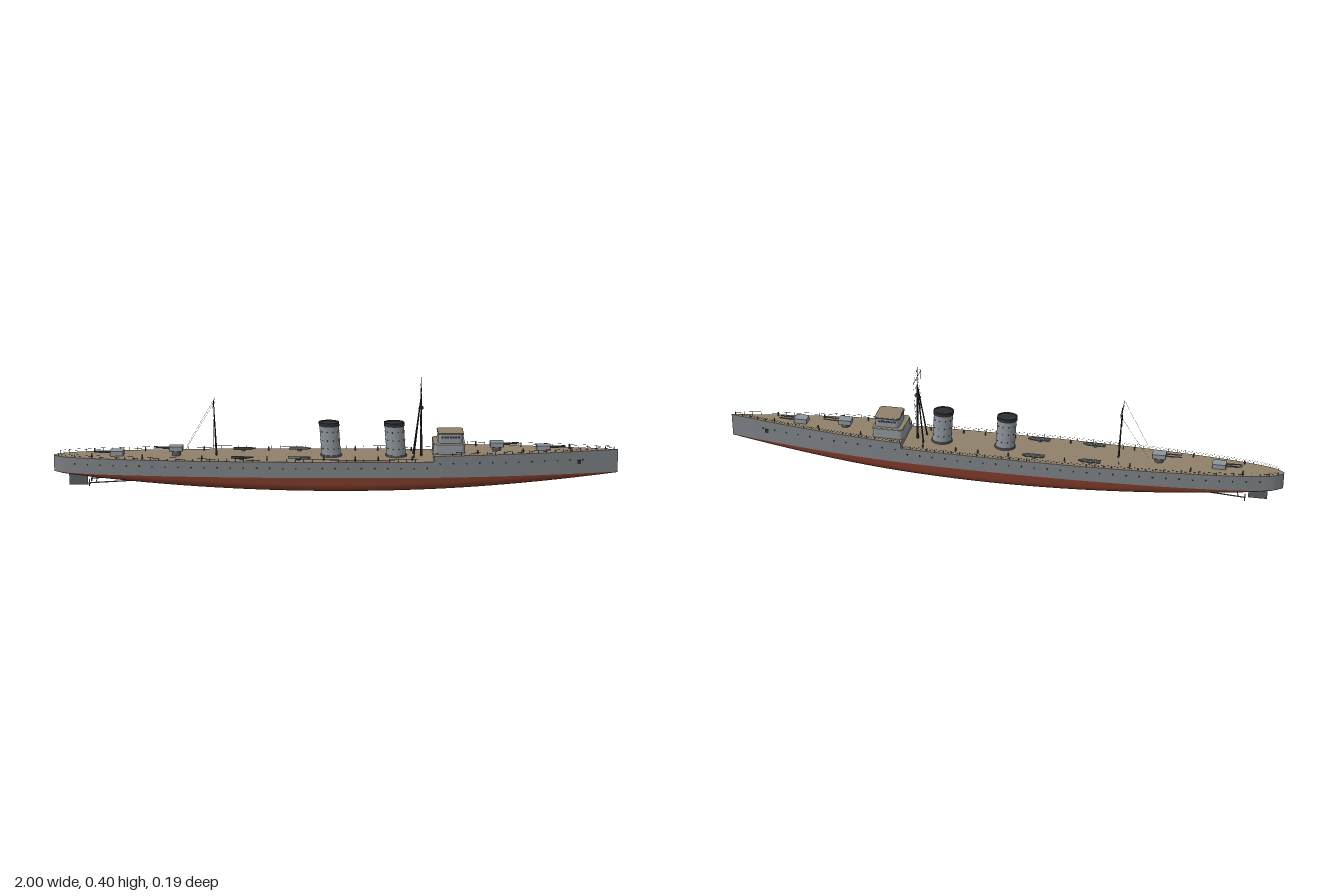
import * as THREE from 'three';
import { mergeGeometries } from 'three/addons/utils/BufferGeometryUtils.js';

const mat = (name, color, side = THREE.FrontSide) => {
  const m = new THREE.MeshStandardMaterial({ color, side });
  m.name = name;
  return m;
};

export function createModel() {
  const ship = new THREE.Group();
  ship.name = 'warship';
  const hullGrey = mat('hull grey', 0x7b7f83);
  const red = mat('antifouling red', 0x7f3b2a);
  const tan = mat('deck tan', 0x8f8069);
  const pale = mat('superstructure grey', 0x8d9499);
  const dark = mat('dark metal', 0x2b2f33, THREE.DoubleSide);
  const steel = mat('steel grey', 0x565c62);

  const V = (x, y, z) => new THREE.Vector3(x, y, z);
  const add = (name, geo, material, parent = ship) => {
    const m = new THREE.Mesh(geo, material);
    m.name = name;
    parent.add(m);
    return m;
  };
  const box = (w, h, d, x, y, z) => new THREE.BoxGeometry(w, h, d).translate(x, y, z);
  const post = (r, h, x, y, z) => new THREE.CylinderGeometry(r, r, h, 8).translate(x, y + h / 2, z);
  // Round bar between two points
  const rod = (a, b, r, r2 = r, sides = 5) => {
    const d = b.clone().sub(a);
    const g = new THREE.CylinderGeometry(r2, r, d.length(), sides);
    g.applyQuaternion(new THREE.Quaternion().setFromUnitVectors(V(0, 1, 0), d.normalize()));
    return g.translate((a.x + b.x) / 2, (a.y + b.y) / 2, (a.z + b.z) / 2);
  };

  // Hull plan: length position against half beam
  const WL = 0.058, DECK = 0.115, STEP = 0.345;
  const plan = new THREE.SplineCurve([
    [-1, 0.004], [-0.985, 0.016], [-0.95, 0.033], [-0.85, 0.053], [-0.7, 0.069], [-0.5, 0.083],
    [-0.25, 0.092], [0, 0.094], [0.2, 0.092], [0.4, 0.084], [0.6, 0.065], [0.8, 0.037], [1, 0.001],
  ].map(p => new THREE.Vector2(...p))).getPoints(96);
  const beam = x => {
    const i = Math.max(1, plan.findIndex(p => p.x >= x - 1e-6));
    const a = plan[i - 1], b = plan[i];
    return a.y + (b.y - a.y) * (x - a.x) / (b.x - a.x);
  };
  const stations = plan.map(p => p.x);
  const foreStations = [STEP, ...stations.filter(x => x > STEP + 0.002)];
  const foreDeck = x => 0.136 + 0.004 * (x - STEP) / (1 - STEP);
  const deckAt = x => x < STEP ? DECK : foreDeck(x);

  // Skin through cross-sections; section(x) gives [y, z] points
  const loft = (xs, section) => {
    const pos = [], idx = [];
    const n = section(0.4).length;
    xs.forEach((x, i) => {
      section(x).forEach(([y, z]) => pos.push(x, y, z));
      if (i === xs.length - 1) return;
      for (let j = 0; j < n - 1; j++) {
        const a = i * n + j, b = a + 1, c = a + n, d = c + 1;
        idx.push(a, b, c, b, d, c);
      }
    });
    const g = new THREE.BufferGeometry();
    g.setAttribute('position', new THREE.Float32BufferAttribute(pos, 3));
    g.setIndex(idx);
    g.computeVertexNormals();
    return g;
  };
  const sides = (name, xs, top, bottom) => {
    add(name + 'SideLeft', loft(xs, x => [[top(x), beam(x)], [bottom, beam(x)]]), hullGrey);
    add(name + 'SideRight', loft(xs, x => [[bottom, -beam(x)], [top(x), -beam(x)]]), hullGrey);
    add(name + 'Deck', loft(xs, x => [[top(x), -beam(x)], [top(x), beam(x)]]), tan);
  };
  sides('main', stations, () => DECK, WL);
  sides('forecastle', foreStations, foreDeck, DECK);
  add('forecastleBulkhead', box(0.004, 0.021, 2 * beam(STEP) - 0.002, STEP + 0.002, 0.1255, 0), hullGrey);
  add('sternPlate', box(0.003, DECK - WL, 0.008, -0.9985, (DECK + WL) / 2, 0), hullGrey);

  // Underwater body: full amidships, sharper toward the ends
  add('underwaterHull', loft(stations, x => {
    const keel = (WL - 0.002) * Math.pow(Math.abs(x), 2.2), p = 0.45 + 0.5 * Math.pow(Math.abs(x), 1.5);
    return Array.from({ length: 21 }, (_, j) => {
      const t = Math.PI * j / 20, c = Math.cos(t);
      return [WL - (WL - keel) * Math.pow(Math.max(0, Math.sin(t)), p), Math.sign(c) * beam(x) * Math.pow(Math.abs(c), p)];
    });
  }), red);

  // Portholes, anchors, guard rails and deck fittings on both sides
  const ports = [], rails = [], fittings = [];
  for (const s of [1, -1]) {
    for (let x = -0.92; x < 0.92; x += 0.046) {
      const y = x > STEP ? 0.108 : 0.092;
      ports.push(new THREE.CylinderGeometry(0.003, 0.003, 0.003, 8).rotateX(Math.PI / 2).translate(x, y, s * beam(x)));
    }
    ports.push(box(0.012, 0.014, 0.004, 0.86, 0.1, s * (beam(0.86) + 0.001)));
    for (const [from, to] of [[-0.98, STEP - 0.005], [STEP + 0.005, 0.985]]) {
      const count = Math.round((to - from) / 0.03);
      let last = null;
      for (let i = 0; i <= count; i++) {
        const x = from + (to - from) * i / count;
        const foot = V(x, deckAt(x), s * (beam(x) - 0.001)), head = foot.clone().setY(foot.y + 0.011);
        rails.push(rod(foot, head, 0.0006));
        if (last) for (const k of [0, 0.005])
          rails.push(rod(last.clone().setY(last.y - k), head.clone().setY(head.y - k), 0.0003, 0.0003, 3));
        last = head;
      }
    }
    for (const x of [-0.86, -0.68, -0.47, -0.24, -0.04, 0.07, 0.15, 0.27, 0.5, 0.66, 0.83])
      fittings.push(post(0.0025, 0.014, x, deckAt(x), s * beam(x) * 0.72));
  }
  add('portholes', mergeGeometries(ports), dark);
  add('guardRails', mergeGeometries(rails), dark);
  add('deckFittings', mergeGeometries(fittings), steel);

  // Bridge: two rounded blocks with planked tops and a window band
  const rounded = (x, y, hx, hz, h, r = 0.014) => {
    const s = new THREE.Shape();
    for (const [i, [a, b]] of [[1, 1], [-1, 1], [-1, -1], [1, -1]].entries())
      s.absarc(a * (hx - r), b * (hz - r), r, i * Math.PI / 2, (i + 1) * Math.PI / 2, false);
    return new THREE.ExtrudeGeometry(s, { depth: h, bevelEnabled: false, curveSegments: 5 })
      .rotateX(-Math.PI / 2).translate(x, y, 0);
  };
  add('bridgeLower', rounded(0.4, 0.135, 0.056, 0.061, 0.036), pale);
  add('bridgeLowerDeck', rounded(0.4, 0.171, 0.054, 0.059, 0.001), tan);
  add('bridgeUpper', rounded(0.405, 0.171, 0.044, 0.046, 0.033), pale);
  add('bridgeRoofRim', rounded(0.405, 0.203, 0.046, 0.048, 0.003), steel);
  add('bridgeRoof', rounded(0.405, 0.206, 0.043, 0.045, 0.001), tan);
  const panes = [];
  for (let i = -3; i <= 3; i++) {
    panes.push(box(0.002, 0.007, 0.007, 0.449, 0.194, i * 0.0095));
    for (const s of [1, -1]) panes.push(box(0.007, 0.007, 0.002, 0.405 + i * 0.0095, 0.194, s * 0.046));
  }
  add('bridgeWindows', mergeGeometries(panes), dark);

  // Raked oval funnels with dark caps and studs
  for (const [i, x] of [-0.015, 0.215].entries()) {
    const funnel = new THREE.Group();
    funnel.name = i ? 'foreFunnel' : 'aftFunnel';
    const oval = (r, h, y, open = false) => new THREE.CylinderGeometry(r, r, h, 28, 1, open).scale(1.22, 1, 1).translate(0, y, 0);
    add('casing', oval(0.028, 0.112, 0.056), pale, funnel);
    add('cap', oval(0.0297, 0.014, 0.116, true), dark, funnel);
    add('mouth', oval(0.0285, 0.003, 0.117), dark, funnel);
    add('base', oval(0.031, 0.006, 0.003), steel, funnel);
    const studs = [];
    for (const y of [0.03, 0.06, 0.09]) for (let k = 0; k < 10; k++) {
      const a = k * Math.PI / 5 + y * 20;
      studs.push(new THREE.SphereGeometry(0.002, 6, 4).translate(0.0342 * Math.cos(a), y, 0.028 * Math.sin(a)));
    }
    add('studs', mergeGeometries(studs), dark, funnel);
    funnel.position.set(x, DECK, 0);
    // Lean the funnel aft by shearing it
    funnel.children.forEach(m => m.geometry.applyMatrix4(new THREE.Matrix4().makeShear(0, 0, -0.07, 0, 0, 0)));
    ship.add(funnel);
  }

  // Twin gun mounts: x, deck height, pedestal height, facing
  for (const [x, y, ped, dir] of [[0.57, 0.137, 0.013, 1], [0.735, 0.138, 0.001, 1], [-0.565, DECK, 0.017, -1], [-0.775, DECK, 0.001, -1]]) {
    const gun = new THREE.Group();
    gun.name = dir > 0 ? 'foreGun' : 'aftGun';
    add('pedestal', post(0.016, ped + 0.002, 0, 0, 0), steel, gun);
    add('shield', rounded(0, ped, 0.024, 0.019, 0.017, 0.004), pale, gun);
    for (const z of [-0.008, 0.008])
      add('barrel', rod(V(0.015, ped + 0.009, z), V(0.08, ped + 0.011, z), 0.0028, 0.0018, 8), steel, gun);
    gun.position.set(x, y, 0);
    gun.rotation.y = dir > 0 ? 0 : Math.PI;
    ship.add(gun);
  }

  // Triple torpedo mounts
  for (const x of [-0.33, -0.13]) for (const z of [-0.061, 0.061]) {
    const tubes = [post(0.007, 0.007, x, DECK, z)];
    for (const k of [-1, 0, 1]) tubes.push(rod(V(x - 0.036, 0.124, z + k * 0.006), V(x + (k ? 0.032 : 0.042), 0.124, z + k * 0.006), 0.0033, 0.0033, 8));
    add('torpedoTubes', mergeGeometries(tubes), steel);
  }

  // Tripod foremast and pole mainmast, with yards and stays
  const foremast = [rod(V(0.304, DECK, 0), V(0.301, 0.33, 0), 0.004, 0.0028, 8), rod(V(0.301, 0.33, 0), V(0.3, 0.4, 0), 0.0018, 0.001)];
  const mainmast = [rod(V(-0.422, DECK, 0), V(-0.43, 0.312, 0), 0.0035, 0.0015, 8)];
  for (const s of [1, -1]) {
    foremast.push(rod(V(0.276, DECK, s * 0.03), V(0.301, 0.33, 0), 0.0028, 0.002, 6));
    for (const [y, w] of [[0.36, 0.057], [0.26, 0.047]])
      foremast.push(rod(V(0.301, y, s * w), V(0.301, 0.39, 0), 0.0003, 0.0003, 3), rod(V(0.301, y, s * w), V(0.3, 0.215, s * 0.03), 0.0003, 0.0003, 3));
    mainmast.push(rod(V(-0.43, 0.31, s * 0.055), V(-0.53, 0.14, s * 0.03), 0.0004, 0.0004, 3),
      rod(V(-0.43, 0.3, 0), V(-0.43, DECK, s * 0.06), 0.0004, 0.0004, 3));
  }
  for (const [y, w] of [[0.36, 0.057], [0.27, 0.01], [0.26, 0.047], [0.215, 0.045]])
    foremast.push(rod(V(0.301, y, -w), V(0.301, y, w), 0.0009));
  for (const [y, w] of [[0.31, 0.057], [0.298, 0.048]]) mainmast.push(rod(V(-0.43, y, -w), V(-0.43, y, w), 0.0009));
  foremast.push(post(0.008, 0.009, 0.301, 0.285, 0));
  add('foremast', mergeGeometries(foremast), dark);
  add('mainmast', mergeGeometries(mainmast), dark);

  // Rudder, shafts and three-bladed propellers
  add('rudder', box(0.066, 0.042, 0.005, -0.915, 0.027, 0), steel);
  for (const s of [1, -1]) {
    const drive = [rod(V(-0.68, 0.032, s * 0.03), V(-0.875, 0.02, s * 0.03), 0.0022, 0.0022, 8), rod(V(-0.85, 0.021, s * 0.03), V(-0.84, 0.05, s * 0.02), 0.0015)];
    for (let k = 0; k < 3; k++)
      drive.push(new THREE.SphereGeometry(1, 8, 6).scale(0.0015, 0.0075, 0.004).rotateY(0.5).translate(0, 0.008, 0).rotateX(k * Math.PI * 2 / 3).translate(-0.872, 0.02, s * 0.03));
    add(s > 0 ? 'propellerLeft' : 'propellerRight', mergeGeometries(drive), steel);
  }
  return ship;
}
